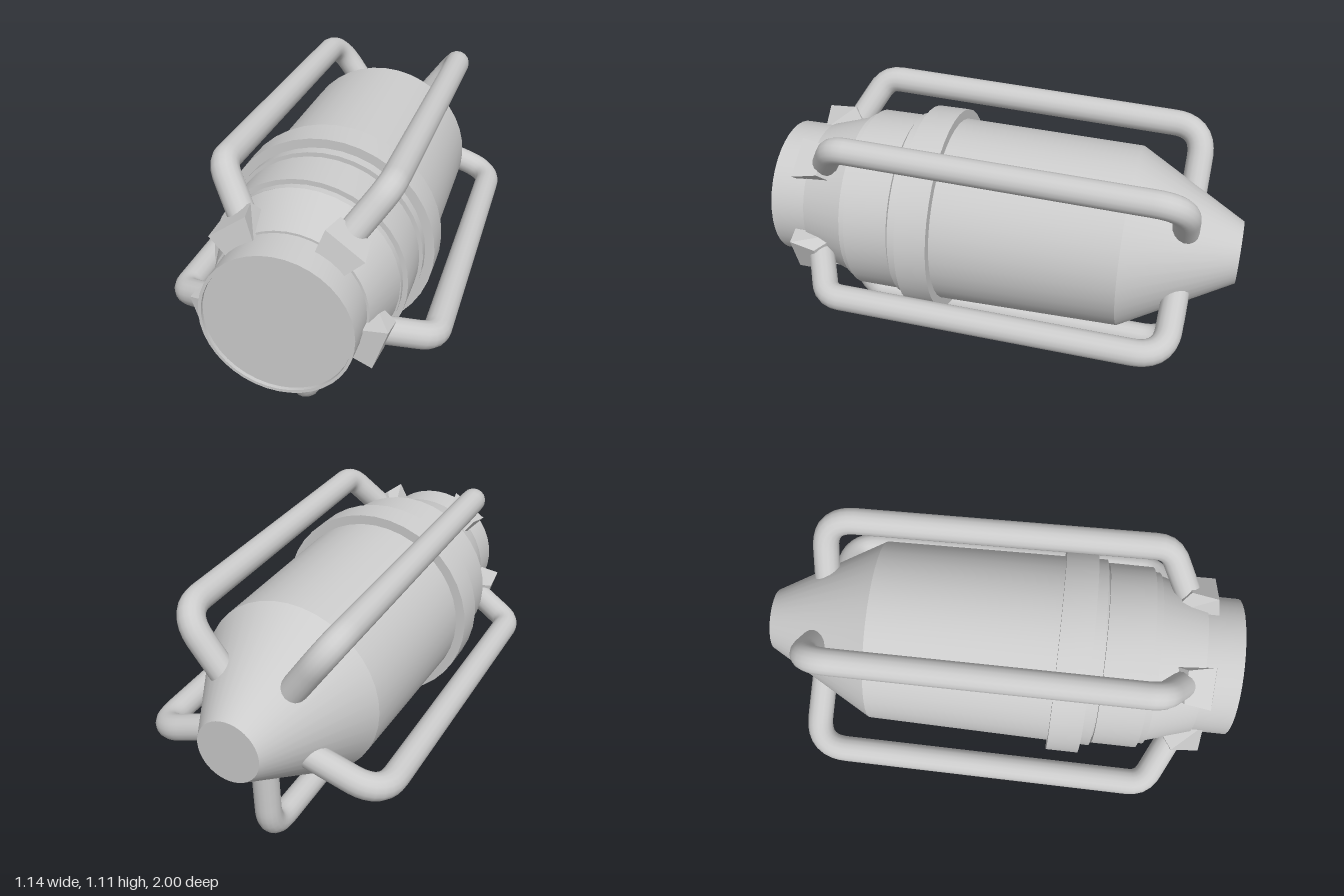
import * as THREE from 'three';
import { toCreasedNormals } from 'three/addons/utils/BufferGeometryUtils.js';

const material = new THREE.MeshStandardMaterial({ color: 0xcccccc });

function addMesh(parent, name, geometry) {
  const mesh = new THREE.Mesh(geometry, material);
  mesh.name = name;
  parent.add(mesh);
  return mesh;
}

// Solid of revolution about z, from [z, radius] pairs running back to front
function turned(profile, segments = 40) {
  const points = profile.map(([z, r]) => new THREE.Vector2(r, z));
  const geometry = new THREE.LatheGeometry(points, segments).rotateX(Math.PI / 2);
  return toCreasedNormals(geometry, 0.45);
}

// Bent guard rod in the plane x = 0, reaching out along +y
function rodGeometry() {
  const corners = [[0.785, 0.3], [0.665, 0.545], [-0.77, 0.53], [-0.77, 0.19]]
    .map(([z, r]) => new THREE.Vector3(0, r, z));
  const bends = [0.06, 0.13];
  const path = new THREE.CurvePath();
  let last = corners[0];
  bends.forEach((size, i) => {
    const [before, corner, after] = corners.slice(i, i + 3);
    const start = corner.clone().add(before.clone().sub(corner).setLength(size));
    const end = corner.clone().add(after.clone().sub(corner).setLength(size));
    path.add(new THREE.LineCurve3(last, start));
    path.add(new THREE.QuadraticBezierCurve3(start, corner, end));
    last = end;
  });
  path.add(new THREE.LineCurve3(last, corners[3]));
  return new THREE.TubeGeometry(path, 80, 0.055, 16);
}

// Block that flares sideways and shortens towards its outer face
function bracketGeometry() {
  const geometry = new THREE.BoxGeometry(1, 1, 1);
  const p = geometry.attributes.position;
  for (let i = 0; i < p.count; i++) {
    const outer = p.getY(i) > 0, front = p.getZ(i) > 0;
    const halfWidth = outer ? (front ? 0.09 : 0.07) : 0.062;
    const z = front ? (outer ? 0.88 : 0.9) : (outer ? 0.77 : 0.69);
    const r = outer ? (front ? 0.375 : 0.385) : 0.27;
    p.setXYZ(i, Math.sign(p.getX(i)) * halfWidth, r, z);
  }
  return toCreasedNormals(geometry, 0.1);
}

export function createModel() {
  const model = new THREE.Group();
  model.name = 'cagedCanister';

  // Canister body along z
  const body = new THREE.Group();
  body.name = 'body';
  body.position.y = 0.618;
  model.add(body);
  addMesh(body, 'mainShell', turned([
    [-1, 0], [-1, 0.132], [-0.54, 0.39], [0.24, 0.404], [0.42, 0.408], [0.42, 0]]));
  addMesh(body, 'flange', turned([
    [0.24, 0.38], [0.24, 0.445], [0.375, 0.445], [0.375, 0.38]]));
  addMesh(body, 'grooveCore', turned([[0.4, 0.375], [0.65, 0.375]]));
  addMesh(body, 'collar', turned([
    [0.43, 0.36], [0.43, 0.395], [0.62, 0.395], [0.62, 0.36]]));
  addMesh(body, 'shoulder', turned([
    [0.635, 0.3], [0.635, 0.368], [0.845, 0.305], [0.845, 0.28]]));
  // Front neck with a shallow recessed lens
  addMesh(body, 'frontNeck', turned([
    [0.8, 0.296], [1, 0.296], [1, 0.284], [0.985, 0.284]]));
  addMesh(body, 'frontLens', new THREE.CircleGeometry(0.29, 40)).position.z = 0.985;

  // Guard cage of five rods, tipped slightly against the body
  const cage = new THREE.Group();
  cage.name = 'guardCage';
  cage.position.y = 0.601;
  cage.rotation.x = -0.019;
  model.add(cage);
  const rod = rodGeometry();
  const bracket = bracketGeometry();
  for (let i = 0; i < 5; i++) {
    const guard = new THREE.Group();
    guard.name = 'guard' + (i + 1);
    guard.rotation.z = Math.PI - 0.012 + (i * Math.PI * 2) / 5;
    addMesh(guard, 'guardRod', rod);
    addMesh(guard, 'guardBracket', bracket);
    cage.add(guard);
  }
  return model;
}
